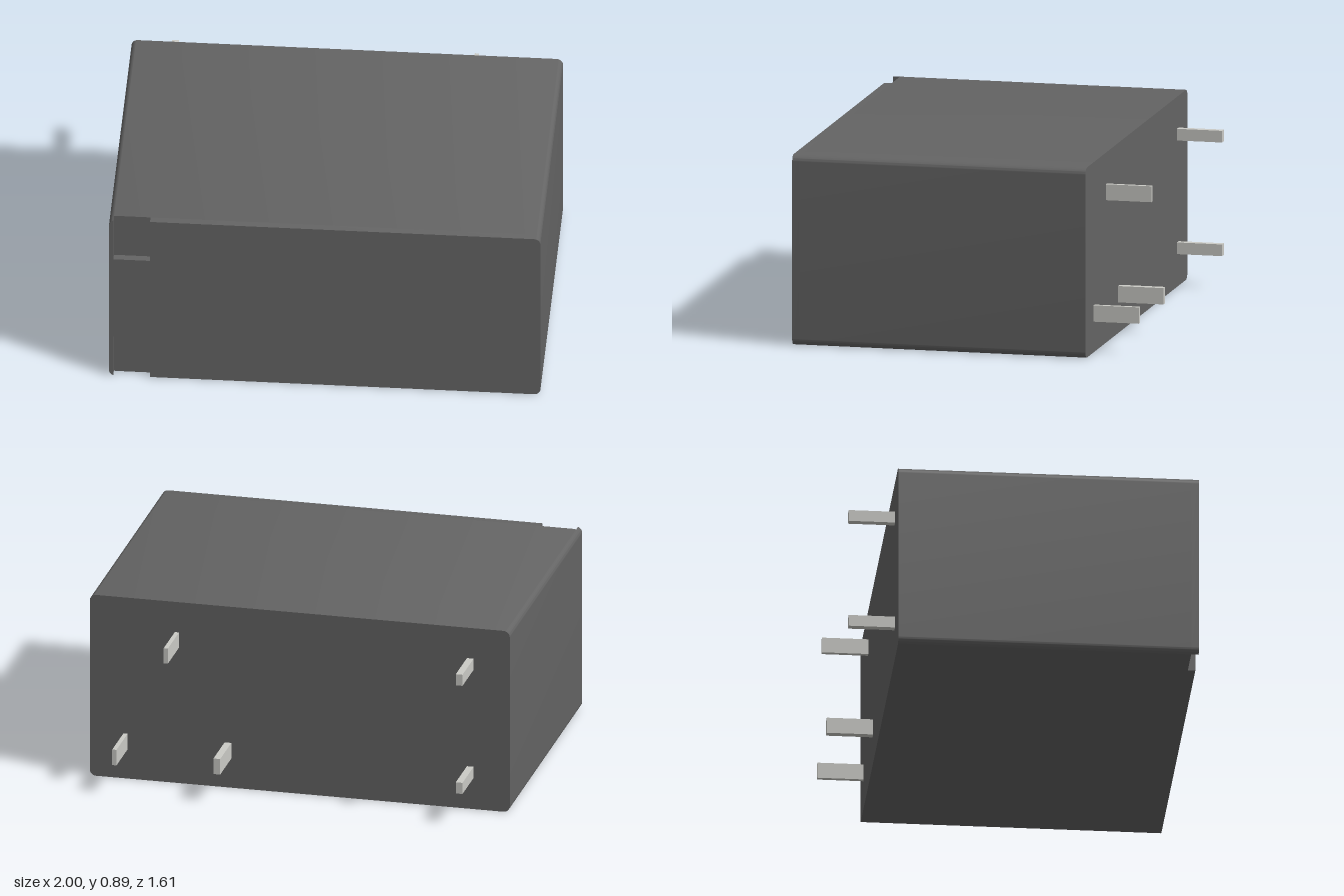
import * as THREE from 'three';
import { toCreasedNormals } from 'three/addons/utils/BufferGeometryUtils.js';

const H = 0.895, R = 0.03;           // case height and corner radius
const BACK = -0.59, STEP = 0.77, FRONT = 0.805;

// Rounded case outline; with notches, two pockets are cut at the right-hand end
function outline(notched) {
  const s = new THREE.Shape();
  const inner = -0.81, outer = -0.98, PI = Math.PI;
  const a = notched ? Math.acos((outer + 1 - R) / R) : PI / 2;
  s.absarc(1 - R, R, R, -PI / 2, 0);
  s.absarc(1 - R, H - R, R, 0, PI / 2);
  if (notched) {
    s.lineTo(inner, H);
    s.lineTo(inner, 0.67);
    s.lineTo(outer, 0.67);
  }
  s.absarc(-1 + R, H - R, R, a, PI);
  s.absarc(-1 + R, R, R, PI, 2 * PI - a);
  if (notched) {
    s.lineTo(outer, 0.225);
    s.lineTo(inner, 0.225);
    s.lineTo(inner, 0);
  }
  s.closePath();
  return s;
}

export function createModel() {
  const model = new THREE.Group();
  model.name = 'relay';
  const caseMat = new THREE.MeshStandardMaterial({ color: 0x646464 });
  const pinMat = new THREE.MeshStandardMaterial({ color: 0xcbcbc6 });

  const slab = (name, notched, z0, z1) => {
    const geo = new THREE.ExtrudeGeometry(outline(notched), {
      depth: z1 - z0, bevelEnabled: false, curveSegments: 8,
    });
    const mesh = new THREE.Mesh(toCreasedNormals(geo, 0.5), caseMat);
    mesh.position.z = z0;
    mesh.name = name;
    model.add(mesh);
  };

  // Case body and the notched layer at its front
  slab('caseBody', false, BACK, STEP);
  slab('notchedFront', true, STEP, FRONT);

  // Flat terminal pins on the back: x, y, width, height
  const pins = [
    ['coilPinUpper', -0.812, 0.717, 0.032, 0.055],
    ['coilPinLower', -0.812, 0.182, 0.032, 0.055],
    ['contactPinInner', 0.342, 0.183, 0.032, 0.077],
    ['contactPinMiddle', 0.585, 0.708, 0.02, 0.075],
    ['contactPinOuter', 0.83, 0.183, 0.02, 0.077],
  ];
  const tip = -0.805;
  for (const [name, x, y, w, h] of pins) {
    const pin = new THREE.Mesh(new THREE.BoxGeometry(w, h, BACK - tip), pinMat);
    pin.position.set(x, y, (BACK + tip) / 2);
    pin.name = name;
    model.add(pin);
  }
  return model;
}
